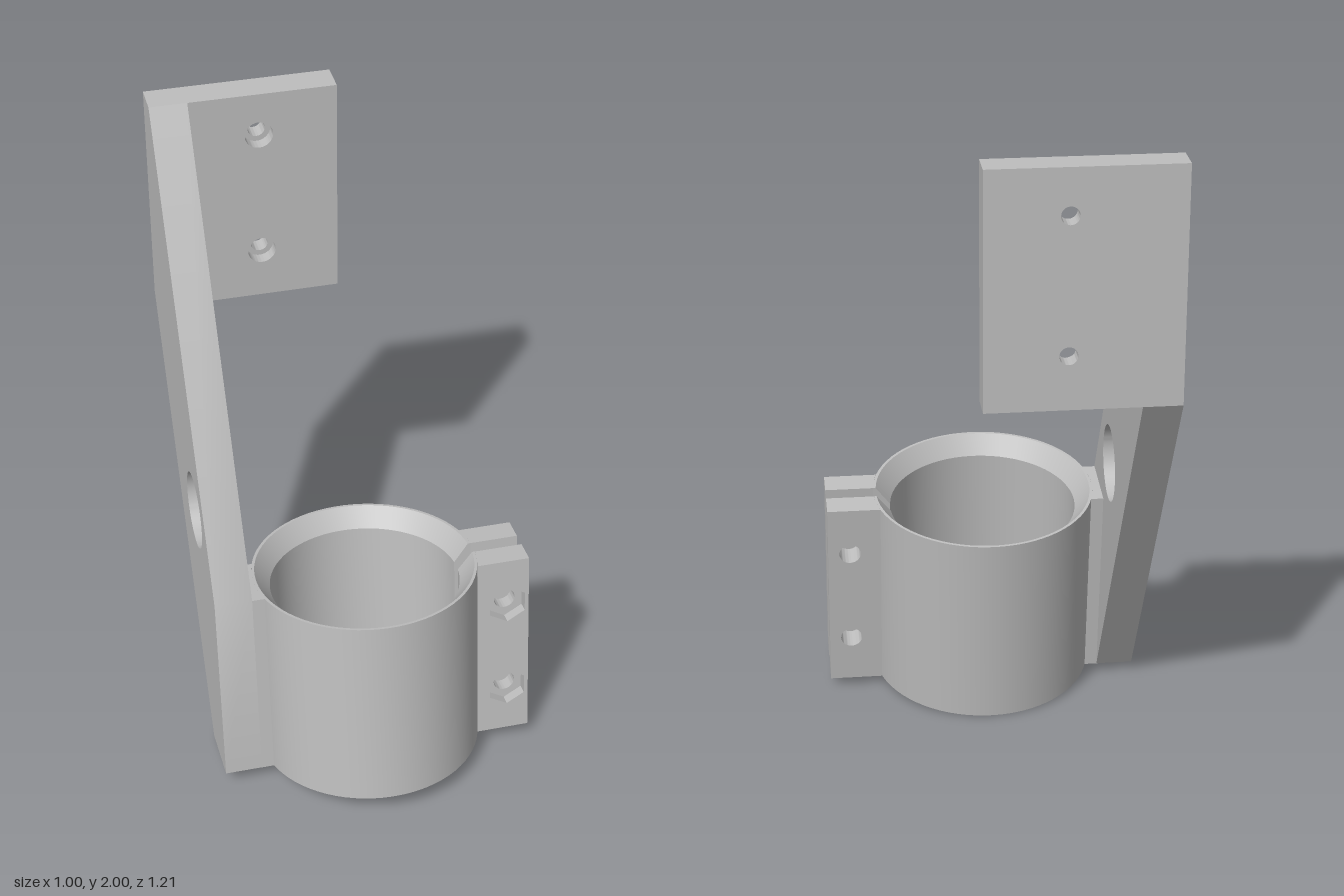
import * as THREE from 'three';
import { toCreasedNormals } from 'three/addons/utils/BufferGeometryUtils.js';

const grey = new THREE.MeshStandardMaterial({ color: 0xbebebe, side: THREE.DoubleSide });
grey.name = 'grey';

function part(name, geometry, parent) {
  const mesh = new THREE.Mesh(toCreasedNormals(geometry, 0.5), grey);
  mesh.name = name;
  parent.add(mesh);
  return mesh;
}

function extrude(shape, depth) {
  return new THREE.ExtrudeGeometry(shape, { depth, bevelEnabled: false, curveSegments: 40 });
}

const polygon = (points) => new THREE.Shape(points.map(([x, y]) => new THREE.Vector2(x, y)));

function roundHole(x, y, r) {
  const path = new THREE.Path();
  path.absarc(x, y, r, 0, Math.PI * 2, true);
  return path;
}

// Hexagon with its points up and down
function hexHole(x, y, r) {
  const points = [];
  for (let i = 0; i < 6; i++) {
    const a = Math.PI / 2 + i * Math.PI / 3;
    points.push(new THREE.Vector2(x + r * Math.cos(a), y + r * Math.sin(a)));
  }
  return new THREE.Path(points);
}

// Upright slab with holes through z, from z0 to z1
function slab([x0, y0, x1, y1], z0, z1, holes) {
  const shape = polygon([[x0, y0], [x1, y0], [x1, y1], [x0, y1]]);
  shape.holes.push(...holes);
  return extrude(shape, z1 - z0).translate(0, 0, z0);
}

export function createModel() {
  const model = new THREE.Group();
  model.name = 'clampBracket';

  // Tilted clamp, built upright in its own frame
  const clamp = new THREE.Group();
  clamp.name = 'clamp';
  clamp.position.set(-0.005, 0.042, 0.252);
  clamp.rotation.x = -0.118;
  model.add(clamp);
  const H = 0.647, R = 0.353, r = 0.298, slit = 0.025, ear = 0.107;

  // Split ring with a chamfered mouth
  const profile = [[r, 0], [R, 0], [R, H], [0.344, H], [r, H - 0.06]];
  const gap = Math.asin(slit / R);
  const points = [...profile, profile[0]].map(([x, y]) => new THREE.Vector2(x, y));
  part('ring', new THREE.LatheGeometry(points, 72, Math.PI / 2 + gap, Math.PI * 2 - 2 * gap), clamp);
  for (const s of [-1, 1]) {
    part('ringEnd', new THREE.ShapeGeometry(polygon(profile)).rotateY(s * gap), clamp);
  }

  // Web that fits the round ring wall, reaching out to xEnd between z0 and z1
  function web(name, xEnd, z0, z1) {
    const side = Math.sign(xEnd);
    const outline = [[xEnd, z0]];
    for (let i = 0; i <= 8; i++) {
      const z = z0 + (z1 - z0) * i / 8;
      outline.push([side * Math.sqrt(R * R - z * z), z]);
    }
    outline.push([xEnd, z1]);
    part(name, extrude(polygon(outline), H).rotateX(-Math.PI / 2), clamp);
  }
  web('armBlock', -0.385, -0.1, 0.1);
  web('frontEarWeb', 0.362, -ear, -slit);
  web('backEarWeb', 0.362, slit, ear);

  // Clamping ears: bolt holes in both, nut pockets in the front one
  const earRect = [0.36, 0, 0.505, H];
  const boltY = [H * 0.25, H * 0.75];
  const bolts = () => boltY.map((y) => roundHole(0.435, y, 0.034));
  const nuts = boltY.map((y) => hexHole(0.435, y, 0.066));
  part('backEar', slab(earRect, -ear, -slit, bolts()), clamp);
  part('frontEar', slab(earRect, slit, ear - 0.035, bolts()), clamp);
  part('nutPockets', slab(earRect, ear - 0.035, ear, nuts), clamp);

  // Slanted arm with a large round hole, outlined in (-z, y)
  const arm = polygon([
    [-0.352, 0.055], [-0.152, 0.031], [0.606, 1.28], [0.606, 2], [0.508, 2], [-0.276, 0.697],
  ]);
  arm.holes.push(roundHole(0.022, 0.842, 0.122));
  part('arm', extrude(arm, 0.117).rotateY(Math.PI / 2).translate(-0.5, 0, 0), model);

  // Mounting plate with counterbored screw holes
  const plateRect = [-0.384, 1.28, 0.075, 2];
  const screws = (radius) => [1.445, 1.86].map((y) => roundHole(-0.168, y, radius));
  part('mountingPlate', slab(plateRect, -0.606, -0.55, screws(0.027)), model);
  part('counterbores', slab(plateRect, -0.55, -0.508, screws(0.044)), model);

  return model;
}
